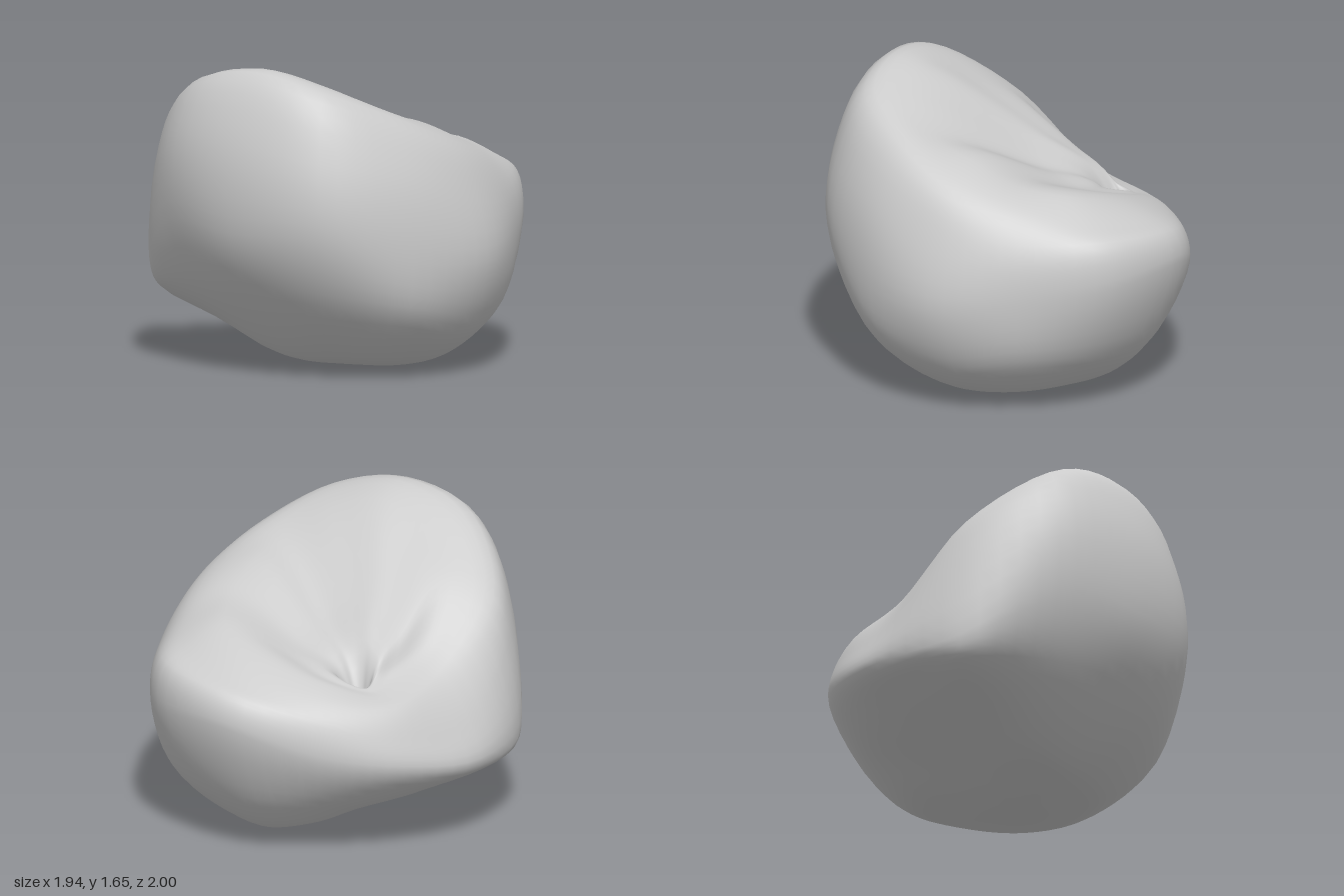
import * as THREE from 'three';
import { mergeVertices } from 'three/addons/utils/BufferGeometryUtils.js';

// Side profiles every 30 degrees from +x round by the front: [radius, height] pairs
// for base edge, lower flank, widest line, upper flank, rim and inner top
const PROFILES = [
  [0.62, 0.08, 0.84, 0.27, 0.96, 0.62, 0.88, 1.00, 0.74, 1.24, 0.45, 1.33],
  [0.62, 0.10, 0.90, 0.36, 0.97, 0.66, 0.92, 1.10, 0.74, 1.40, 0.48, 1.39],
  [0.52, 0.10, 0.86, 0.42, 1.02, 0.80, 0.99, 1.20, 0.82, 1.55, 0.52, 1.52],
  [0.48, 0.09, 0.83, 0.46, 0.99, 0.80, 0.98, 1.28, 0.79, 1.64, 0.55, 1.59],
  [0.50, 0.13, 0.85, 0.45, 1.00, 0.82, 1.00, 1.27, 0.86, 1.54, 0.52, 1.47],
  [0.50, 0.18, 0.98, 0.38, 1.03, 0.50, 0.97, 1.02, 0.88, 1.22, 0.60, 1.30],
  [0.30, 0.13, 0.75, 0.32, 0.965, 0.46, 0.90, 0.68, 0.74, 0.92, 0.60, 1.00],
  [0.35, 0.14, 0.72, 0.32, 0.90, 0.52, 0.86, 0.70, 0.78, 0.84, 0.70, 0.88],
  [0.48, 0.13, 0.74, 0.33, 0.885, 0.60, 0.86, 0.80, 0.78, 0.90, 0.66, 0.97],
  [0.58, 0.10, 0.82, 0.34, 0.99, 0.78, 0.95, 0.93, 0.84, 0.99, 0.62, 1.08],
  [0.58, 0.10, 0.84, 0.34, 1.00, 0.75, 0.97, 0.98, 0.84, 1.06, 0.60, 1.17],
  [0.62, 0.10, 0.85, 0.34, 0.92, 0.68, 0.88, 0.95, 0.74, 1.14, 0.50, 1.22],
];
const BASE = new THREE.Vector3(0.25, 0, -0.05);
const LIP = new THREE.Vector3(-0.46, 0.92, -0.38);
const PIT = new THREE.Vector3(-0.46, 0.66, -0.38);

// Turns one profile into points in space, closed at the base and in the dimple
function meridianPoints(profile, k) {
  const angle = k * Math.PI * 2 / PROFILES.length, points = [];
  for (let i = 0; i < profile.length; i += 2) {
    points.push(new THREE.Vector3(
      profile[i] * Math.cos(angle), profile[i + 1], profile[i] * Math.sin(angle)));
  }
  const first = points[0], last = points[points.length - 1];
  const sole = BASE.clone().lerp(first, 0.5).setY(first.y * 0.25);
  return [BASE, sole, ...points, last.clone().lerp(LIP, 0.5), last.clone().lerp(LIP, 0.82), PIT];
}

function bodyGeometry(around = 60, up = 50) {
  const meridians = PROFILES.map(meridianPoints);
  // Smooth closed ring through the matching points of all profiles
  const rings = meridians[0].map((_, j) =>
    new THREE.CatmullRomCurve3(meridians.map((m) => m[j]), true, 'catmullrom'));
  const positions = [], index = [];
  for (let i = 0; i < around; i++) {
    const meridian = new THREE.CatmullRomCurve3(rings.map((ring) => ring.getPoint(i / around)));
    for (let j = 0; j <= up; j++) {
      const q = meridian.getPoint(j / up);
      positions.push(q.x, Math.max(q.y, 0), q.z);
      if (j === up) continue;
      const a = i * (up + 1) + j, b = ((i + 1) % around) * (up + 1) + j;
      if (j < up - 1) index.push(a, a + 1, b + 1);
      if (j > 0) index.push(a, b + 1, b);
    }
  }
  const geometry = new THREE.BufferGeometry();
  geometry.setAttribute('position', new THREE.Float32BufferAttribute(positions, 3));
  geometry.setIndex(index);
  const merged = mergeVertices(geometry, 1e-5);
  merged.computeVertexNormals();
  return merged;
}

export function createModel() {
  const group = new THREE.Group();
  // Lumpy rounded body with a sloping top and a stem dimple
  const body = new THREE.Mesh(bodyGeometry(), new THREE.MeshStandardMaterial({ color: 0xcccccc }));
  body.name = 'dimpledBody';
  group.add(body);
  return group;
}
